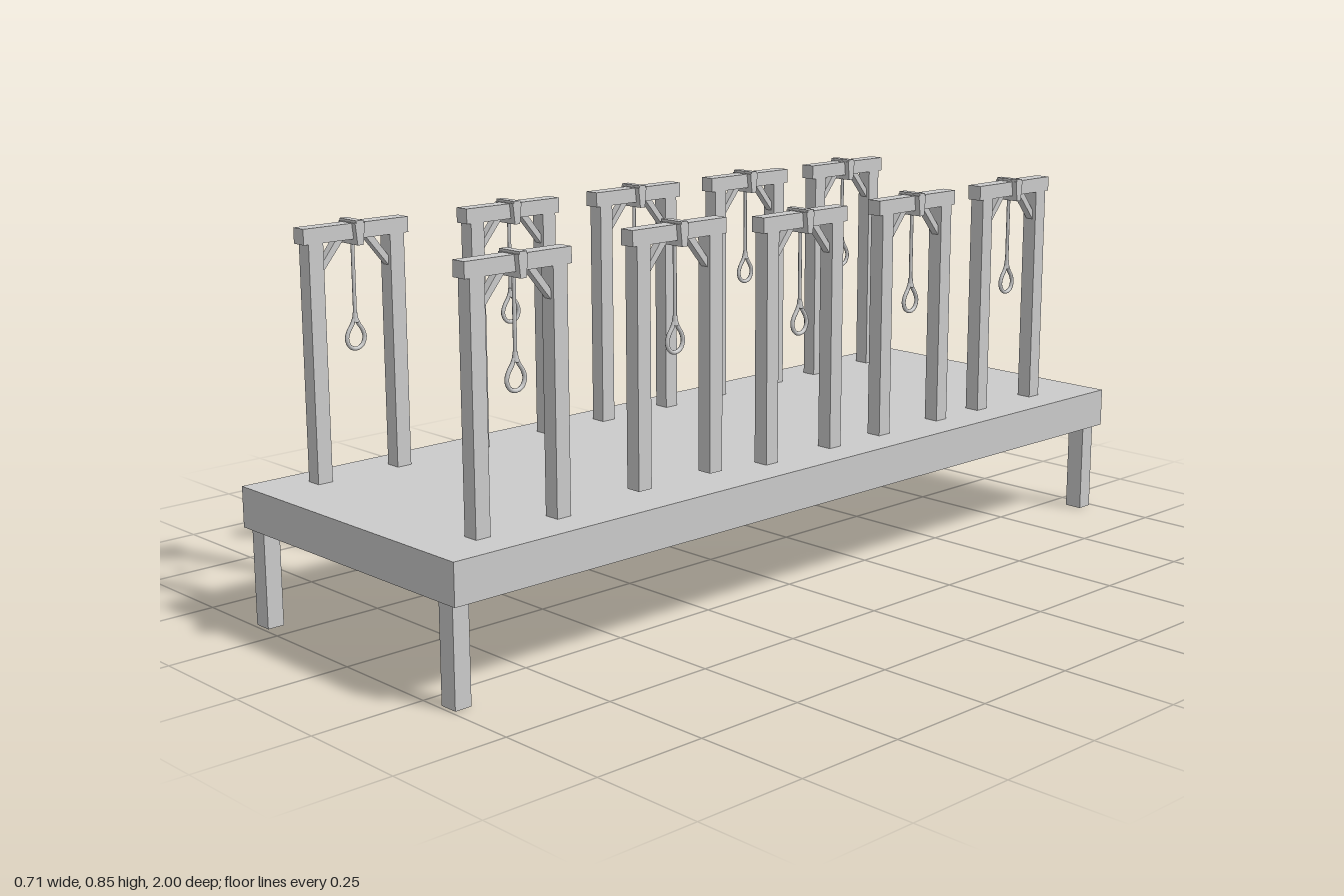
import * as THREE from 'three';

const grey = new THREE.MeshStandardMaterial({ color: 0xcccccc });
const DECK = 0.298, BEAM_LOW = 0.799, BEAM_TOP = 0.832, W = 0.035;

function add(parent, name, geometry, x = 0, y = 0, z = 0) {
  const m = new THREE.Mesh(geometry, grey);
  m.name = name;
  m.position.set(x, y, z);
  parent.add(m);
  return m;
}

const box = (w, h, d) => new THREE.BoxGeometry(w, h, d);

// Outline given as [z, y] pairs, extruded symmetrically along x
function slab(points, width) {
  const shape = new THREE.Shape(points.map(([z, y]) => new THREE.Vector2(z, y)));
  const g = new THREE.ExtrudeGeometry(shape, { depth: width, bevelEnabled: false });
  g.translate(0, 0, -width / 2);
  g.rotateY(-Math.PI / 2);
  return g;
}

// Teardrop loop in the plane of the frame
function loopGeometry() {
  const half = [[0.008, 0.618], [0.018, 0.603], [0.022, 0.588], [0.015, 0.572]];
  const pts = [[0, 0.632], ...half, [0, 0.566], ...half.slice().reverse().map(([z, y]) => [-z, y])];
  const curve = new THREE.CatmullRomCurve3(pts.map(([z, y]) => new THREE.Vector3(0, y, z)), true);
  return new THREE.TubeGeometry(curve, 32, 0.0045, 8, true);
}

function createFrame() {
  const frame = new THREE.Group();
  frame.name = 'frame';
  const postH = BEAM_LOW - DECK;

  // Crossbeam
  add(frame, 'crossbeam', box(W, BEAM_TOP - BEAM_LOW, 0.258), 0, (BEAM_TOP + BEAM_LOW) / 2, 0);

  // Uprights and diagonal braces, mirrored
  for (const s of [-1, 1]) {
    add(frame, 'post', box(W, postH, W), 0, DECK + postH / 2, s * 0.1);
    const outline = [[0.084, 0.732], [0.084, 0.752], [0.046, 0.8], [0.027, 0.8]]
      .map(([z, y]) => [s * z, y]);
    add(frame, 'brace', slab(outline, 0.018));
  }

  // Tapered collar around the beam with a cap strip
  add(frame, 'collar', slab([[-0.007, 0.787], [0.007, 0.787], [0.012, 0.833], [-0.012, 0.833]], 0.06));
  add(frame, 'collarCap', box(0.06, 0.005, 0.018), 0, 0.8355, 0);

  // Rope, knot and loop
  add(frame, 'rope', new THREE.CylinderGeometry(0.004, 0.004, 0.16, 8), 0, 0.71, 0);
  add(frame, 'knot', new THREE.CylinderGeometry(0.005, 0.007, 0.02, 8), 0, 0.632, 0);
  add(frame, 'ropeLoop', loopGeometry());
  return frame;
}

export function createModel() {
  const model = new THREE.Group();
  model.name = 'platformWithFrames';

  // Platform
  add(model, 'platform', box(0.714, 0.088, 2), 0, 0.254, 0);

  // Corner legs
  for (const x of [-0.318, 0.317])
    for (const z of [-0.972, 0.972])
      add(model, 'leg', box(0.042, 0.212, 0.038), x, 0.106, z);

  // Two rows of frames; one stands slightly higher
  const rows = [
    { x: -0.273, zs: [-0.731, -0.382, -0.018, 0.351, 0.763] },
    { x: 0.262, zs: [-0.726, -0.376, -0.012, 0.355, 0.77] },
  ];
  const unit = createFrame();
  for (const { x, zs } of rows)
    zs.forEach((z, i) => {
      const f = unit.clone();
      f.position.set(x, x > 0 && i === 3 ? 0.013 : 0, z);
      model.add(f);
    });
  return model;
}
